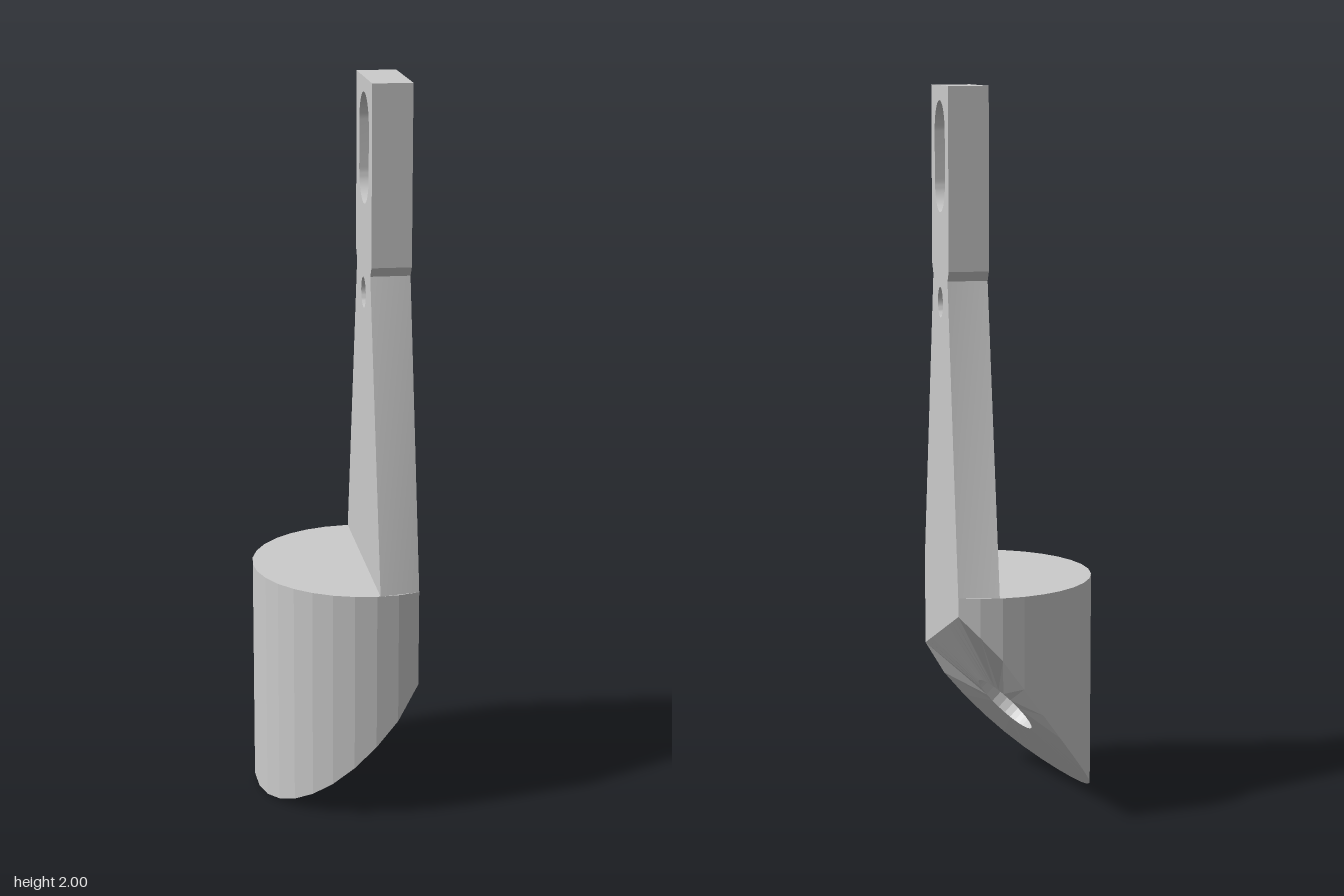
import * as THREE from 'three';
import { toCreasedNormals } from 'three/addons/utils/BufferGeometryUtils.js';

// Local frame: x runs through the plate thickness, z along its width.
const INNER = 0.071, OUTER = 0.18, BASE_TOP = 0.65;
const CX = 0.0685, CZ = 0.0146, R = 0.31;

// Tapered plate with a slotted head and three round holes
function plateGeometry() {
  const side = [[0.3, BASE_TOP], [0.12, 1.483], [0.14, 1.51], [0.14, 2]];
  const outline = [...side, ...side.map(([w, y]) => [-w, y]).reverse()];
  const shape = new THREE.Shape(outline.map(([x, y]) => new THREE.Vector2(x, y)));

  const slot = new THREE.Path();
  slot.absarc(0, 1.875, 0.085, 0, Math.PI, false);
  slot.absarc(0, 1.745, 0.085, Math.PI, 2 * Math.PI, false);
  slot.closePath();
  shape.holes.push(slot);
  for (const y of [1.415, 1.288, 1.16]) {
    shape.holes.push(new THREE.Path().absarc(0, y, 0.042, 0, 2 * Math.PI, false));
  }

  const geo = new THREE.ExtrudeGeometry(shape, {
    depth: OUTER - INNER, bevelEnabled: false, curveSegments: 16,
  });
  geo.rotateY(Math.PI / 2).translate(INNER, 0, 0);

  // spread the foot so that its corners land on the round base
  const pos = geo.attributes.position;
  for (let i = 0; i < pos.count; i++) {
    if (pos.getY(i) > BASE_TOP + 0.001) continue;
    const half = Math.sqrt(R * R - (pos.getX(i) - CX) ** 2);
    pos.setZ(i, CZ + Math.sign(pos.getZ(i)) * half);
  }
  return toCreasedNormals(geo, 0.5);
}

// Joins rings of equal length; a first or last ring may be a single point repeated
function loft(rings) {
  const out = [], last = rings.length - 2;
  const tri = (...pts) => pts.forEach((p) => out.push(p.x, p.y, p.z));
  for (let i = 0; i <= last; i++) {
    const n = rings[i].length;
    for (let j = 0; j < n; j++) {
      const k = (j + 1) % n;
      if (i > 0) tri(rings[i][j], rings[i][k], rings[i + 1][k]);
      if (i < last) tri(rings[i][j], rings[i + 1][k], rings[i + 1][j]);
    }
  }
  const geo = new THREE.BufferGeometry();
  geo.setAttribute('position', new THREE.Float32BufferAttribute(out, 3));
  geo.computeVertexNormals();
  return geo;
}

// Round base with one flat side, cut obliquely below, with a blind hole in the cut
function baseGeometry() {
  const rise = (x, z) => 0.314 + 0.947 * (x - CX) - 0.32 * (z - CZ);
  const start = Math.acos((OUTER - CX) / R), ARC = 20, CHORD = 10;
  const bottom = [];
  for (let i = 1; i < ARC; i++) {
    const a = start + (2 * Math.PI - 2 * start) * i / ARC;
    const x = CX + R * Math.cos(a), z = CZ + R * Math.sin(a), u = rise(x, z);
    bottom.push(new THREE.Vector3(x, Math.min(0.85 * u + 0.8 * u * u, 1.17 * u), z));
  }
  const half = R * Math.sin(start);
  for (let i = 0; i <= CHORD; i++) {
    const z = CZ - half + 2 * half * i / CHORD;
    bottom.push(new THREE.Vector3(OUTER, 1.17 * rise(OUTER, z), z));
  }

  // blind hole square to the cut
  const axis = new THREE.Vector3(-1.17 * 0.947, 1, 1.17 * 0.32).normalize();
  const centre = new THREE.Vector3(0, 0.27, 0.005);
  const floorCentre = centre.clone().addScaledVector(axis, 0.12);
  const rim = bottom.map((p) =>
    p.clone().sub(centre).projectOnPlane(axis).setLength(0.1).add(centre));
  const floor = rim.map((p) => p.clone().addScaledVector(axis, 0.12));

  const top = bottom.map((p) => new THREE.Vector3(p.x, BASE_TOP, p.z));
  const topCentre = new THREE.Vector3(CX, BASE_TOP, CZ);
  return loft([
    top.map(() => topCentre), top, bottom, rim, floor, floor.map(() => floorCentre),
  ]);
}

export function createModel() {
  const model = new THREE.Group();
  model.name = 'bracket';
  const body = new THREE.Group();
  body.name = 'bracketBody';
  body.rotation.y = THREE.MathUtils.degToRad(12);
  model.add(body);

  const add = (name, geo, flatShading) => {
    const mesh = new THREE.Mesh(geo,
      new THREE.MeshStandardMaterial({ color: 0xcccccc, flatShading }));
    mesh.name = name;
    body.add(mesh);
  };
  add('slottedPlate', plateGeometry(), false);
  add('obliqueBase', baseGeometry(), true);
  return model;
}
